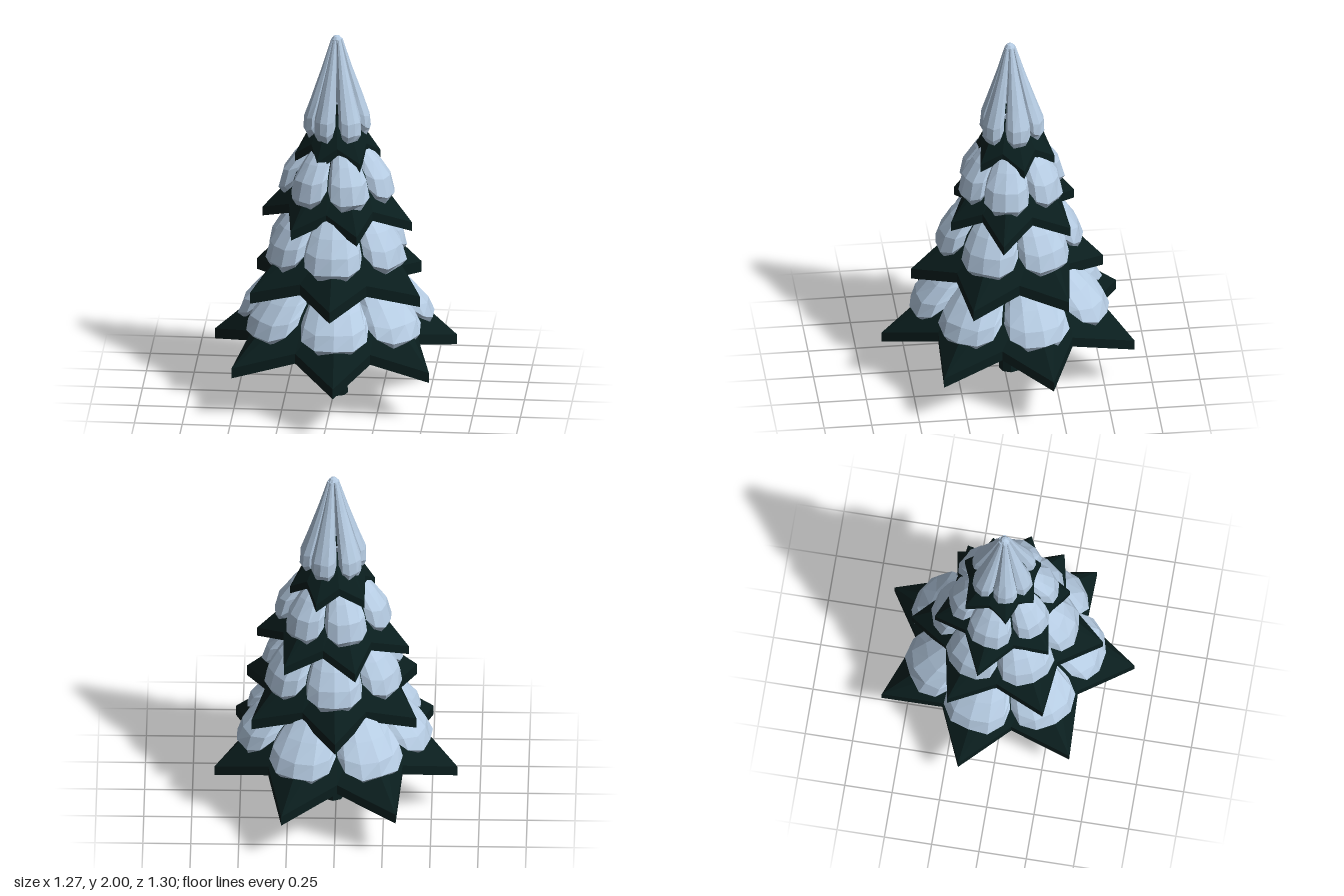
import * as THREE from 'three';

const pine = new THREE.MeshStandardMaterial({ color: 0x0a1e1e, flatShading: true });
pine.name = 'dark pine';
const snow = new THREE.MeshStandardMaterial({ color: 0xb6cce3, flatShading: true });
snow.name = 'pale snow';

const DEG = Math.PI / 180;
const polar = (a, r, y) => [Math.sin(a) * r, y, Math.cos(a) * r];

// Skin columns of points; every column is a closed loop running up its outer side first
function skin(columns, wrap) {
  const pos = [];
  const n = columns.length, m = columns[0].length;
  for (let i = 0; i < (wrap ? n : n - 1); i++) {
    const c0 = columns[i], c1 = columns[(i + 1) % n];
    for (let j = 0; j < m; j++) {
      const k = (j + 1) % m;
      pos.push(...c0[j], ...c1[j], ...c1[k], ...c0[j], ...c1[k], ...c0[k]);
    }
  }
  const geo = new THREE.BufferGeometry();
  geo.setAttribute('position', new THREE.Float32BufferAttribute(pos, 3));
  geo.computeVertexNormals();
  return geo;
}

// Hollow star-shaped skirt of branches with drooping tips
function branchSkirt({ angles, radii, valley, y, thick, rise, inner }) {
  const columns = [];
  const n = angles.length;
  angles.forEach((deg, i) => {
    const next = i + 1 < n ? angles[i + 1] : angles[0] + 360;
    const rNext = radii[(i + 1) % n];
    const add = (a, r, y0) => columns.push([
      polar(a, r, y0), polar(a, r, y0 + thick),
      polar(a, inner[0], inner[1]), polar(a, inner[0] - 0.015, inner[1] - thick),
    ]);
    add(deg * DEG, radii[i], y);
    add((deg + next) / 2 * DEG, (radii[i] + rNext) / 2 * valley, y + rise);
  });
  return skin(columns, true);
}

// Puffy tongue of snow lying on one branch, rounded and scalloped at its lower end
function snowLobe(angle, halfWidth, profile, depth, lift, seed) {
  const us = [-1, -0.82, -0.45, 0, 0.45, 0.82, 1];
  const bulge = [0, 0.58, 0.92, 1, 0.92, 0.58, 0];
  const scallop = [1, 0.3, 0, 0.5, 0, 0.3, 1];
  const last = profile.length - 1;
  const columns = us.map((u, i) => {
    const outer = [], inner = [];
    profile.forEach(([r, y], j) => {
      const t = j / last;
      const fade = (1 - t) ** 2;
      const wobble = Math.sin(seed * 7.3 + i * 2.9 + j * 4.1) * 0.06 * (1 - t);
      const d = Math.min(depth, r * 0.35);
      const py = y + lift * scallop[i] * fade;
      const tuck = d * 0.95 * fade;
      const a = angle + u * halfWidth * (j === 0 ? 0.88 : 1);
      outer.push(polar(a, r - d + d * bulge[i] * (1 + wobble), py + tuck * (1 - bulge[i])));
      inner.push(polar(a, r - d, py + tuck));
    });
    return [...outer, ...inner.reverse()];
  });
  return skin(columns, false);
}

// Tiers from the ground up; snow profiles are [radius, height] from the lower end upward
const tiers = [
  {
    angles: [3, 52, 104.6, 157.4, 209.4, 257.8, 309.5],
    radii: [0.68, 0.655, 0.637, 0.677, 0.683, 0.665, 0.668],
    valley: 0.675, y: 0.225, thick: 0.055, rise: 0.09, inner: [0.3, 0.62],
    depth: 0.12, lift: 0.03,
    profile: [[0.5, 0.385], [0.525, 0.42], [0.495, 0.5], [0.42, 0.59], [0.33, 0.68], [0.22, 0.85]],
  },
  {
    angles: [0.5, 62, 122, 182, 242, 302],
    radii: [0.52, 0.515, 0.497, 0.49, 0.495, 0.51],
    valley: 0.675, y: 0.585, thick: 0.06, rise: 0.07, inner: [0.21, 0.95],
    depth: 0.09, lift: 0.03,
    profile: [[0.365, 0.75], [0.388, 0.79], [0.365, 0.88], [0.31, 0.97], [0.24, 1.05], [0.13, 1.2]],
  },
  {
    angles: [22, 79, 139, 199, 258.6, 321],
    radii: [0.35, 0.407, 0.385, 0.37, 0.403, 0.345],
    valley: 0.69, y: 0.945, thick: 0.05, rise: 0.085, inner: [0.14, 1.3],
    depth: 0.075, lift: 0.03,
    profile: [[0.275, 1.1], [0.298, 1.14], [0.275, 1.24], [0.215, 1.33], [0.155, 1.4], [0.09, 1.52]],
  },
  {
    angles: [38.5, 102.5, 159, 222.5, 280.5, 332],
    radii: [0.217, 0.23, 0.24, 0.244, 0.22, 0.19],
    valley: 0.76, y: 1.3, thick: 0.045, rise: 0.075, inner: [0.08, 1.58],
    depth: 0.055, lift: 0.03,
    profile: [[0.155, 1.435], [0.176, 1.48], [0.172, 1.55], [0.135, 1.66], [0.08, 1.82], [0.03, 1.98]],
  },
];

export function createModel() {
  const model = new THREE.Group();
  model.name = 'snowyPineTree';
  const tree = new THREE.Group();
  tree.name = 'tree';
  tree.position.set(0.015, 0, -0.03);
  model.add(tree);

  const add = (parent, name, geo, mat) => {
    const mesh = new THREE.Mesh(geo, mat);
    mesh.name = name;
    parent.add(mesh);
    return mesh;
  };

  // Trunk
  add(tree, 'trunk', new THREE.CylinderGeometry(0.025, 0.058, 1.4, 8), pine).position.y = 0.7;

  // Branch skirts, each with one snow lobe per branch
  tiers.forEach((tier, k) => {
    const group = new THREE.Group();
    group.name = `tier${k + 1}`;
    tree.add(group);
    add(group, 'branches', branchSkirt(tier), pine);
    const half = Math.PI / tier.angles.length * 0.99;
    const mean = tier.radii.reduce((a, b) => a + b) / tier.radii.length;
    tier.angles.forEach((deg, i) => {
      const scale = 1 + (tier.radii[i] / mean - 1) * 0.5;
      const profile = tier.profile.map(([r, y]) => [r * scale, y]);
      add(group, `snow${i + 1}`,
        snowLobe(deg * DEG, half, profile, tier.depth, tier.lift, k * 10 + i), snow);
    });
  });

  // Rounded snow tip
  add(tree, 'snowTip', new THREE.SphereGeometry(0.028, 8, 5), snow).position.y = 1.972;

  return model;
}
